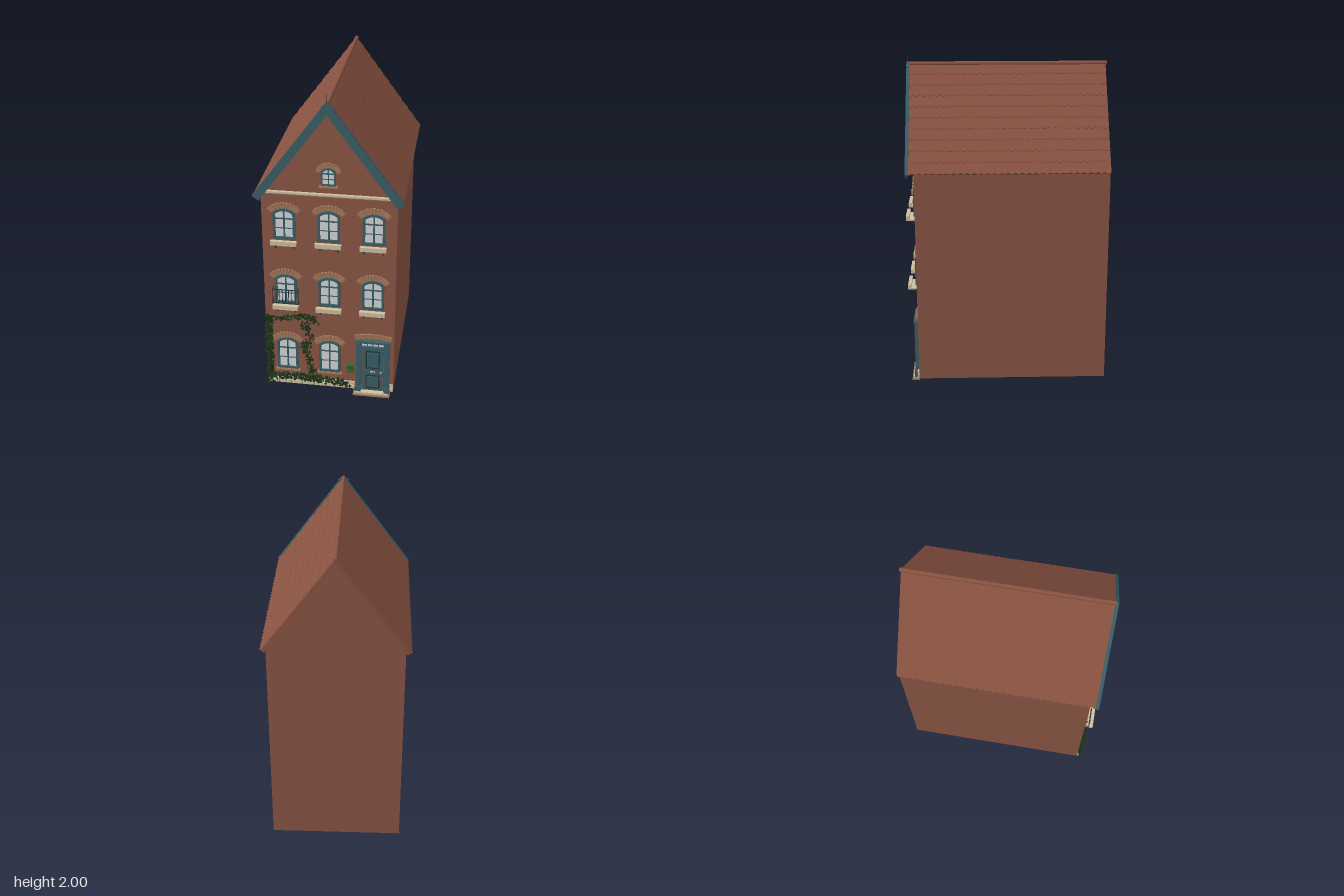
import * as THREE from 'three';
import { mergeGeometries } from 'three/addons/utils/BufferGeometryUtils.js';

const material = (name, color, side = THREE.FrontSide) => {
  const m = new THREE.MeshStandardMaterial({ color, side });
  m.name = name;
  return m;
};
const MAT = {
  brick: material('red brick', 0x8b5645),
  roof: material('roof tile', 0x895341),
  teal: material('teal paint', 0x3b5f67),
  glass: material('pale glass', 0xd6d8da),
  stone: material('cream stone', 0xcfc0a2),
  arch: material('tan brick', 0xa5795a),
  iron: material('dark iron', 0x26343a),
  ivy: material('ivy green', 0x1f361b, THREE.DoubleSide),
  post: material('mailbox green', 0x2f6b2c),
  plaster: material('plaster', 0xa5866b),
};
const FRONT = 0.56, BACK = -0.605;

function add(parent, name, geo, mat, x = 0, y = 0, z = 0) {
  const m = new THREE.Mesh(geo, mat);
  m.name = name;
  m.position.set(x, y, z);
  parent.add(m);
  return m;
}
const box = (parent, name, mat, [w, h, d], [x, y, z]) =>
  add(parent, name, new THREE.BoxGeometry(w, h, d), mat, x, y, z);
const extrude = (shape, depth) =>
  new THREE.ExtrudeGeometry(shape, { depth, bevelEnabled: false, curveSegments: 10 });
function group(parent, name, x = 0, y = 0, z = 0) {
  const g = new THREE.Group();
  g.name = name;
  g.position.set(x, y, z);
  parent.add(g);
  return g;
}
function rect(x0, y0, x1, y1) {
  return new THREE.Shape([[x0, y0], [x1, y0], [x1, y1], [x0, y1]].map(p => new THREE.Vector2(...p)));
}

// Upright opening with a segmental arch on top
const arcRadius = (hw, rise) => (hw * hw + rise * rise) / (2 * rise);
function archShape(hw, y0, y1, rise) {
  const R = arcRadius(hw, rise), a = Math.PI / 2 - Math.asin(Math.min(1, hw / R));
  const s = new THREE.Shape();
  s.moveTo(-hw, y0);
  s.lineTo(hw, y0);
  s.lineTo(hw, y1 - rise);
  s.absarc(0, y1 - R, R, a, Math.PI - a, false);
  s.closePath();
  return s;
}

// Fan of bricks over an opening
function brickArch(parent, hw, top, rise, count, height) {
  const R = arcRadius(hw, rise), half = Math.asin(Math.min(1, hw / R));
  const g = group(parent, 'brickArch');
  for (let i = 0; i < count; i++) {
    const a = half * (2 * (i + 0.5) / count - 1);
    const w = 2 * half * (R + height / 2) / count * 0.86;
    const r = R + height / 2;
    const b = box(g, 'archBrick', MAT.arch, [w, height * (i % 2 ? 1 : 0.88), 0.014],
      [r * Math.sin(a), top - R + r * Math.cos(a), FRONT + 0.005]);
    b.rotation.z = -a;
  }
}

function makeWindow(parent, x, y0, y1, hw, rise, sill) {
  const g = group(parent, 'window', x), t = hw * 0.22, h = y1 - y0;
  const frame = archShape(hw, y0, y1, rise);
  frame.holes.push(archShape(hw - t, y0 + t, y1 - t, rise * 0.7));
  add(g, 'windowFrame', extrude(frame, 0.012), MAT.teal, 0, 0, FRONT);
  add(g, 'windowGlass', extrude(archShape(hw - t / 2, y0 + t / 2, y1 - t / 2, rise), 0.003), MAT.glass, 0, 0, FRONT);
  box(g, 'mullion', MAT.teal, [hw * 0.15, h - t, 0.009], [0, (y0 + y1) / 2, FRONT + 0.0045]);
  for (const f of [0.36, 0.67])
    box(g, 'glazingBar', MAT.teal, [2 * hw - t, f > 0.5 ? 0.008 : 0.004, 0.008], [0, y0 + h * f, FRONT + 0.004]);
  brickArch(g, hw + 0.008, y1 + 0.004, rise + 0.004, 11, hw > 0.05 ? 0.036 : 0.028);
  if (sill === 'deep') {
    box(g, 'sillShelf', MAT.stone, [0.15, 0.009, 0.045], [0, y0 - 0.019, FRONT + 0.0225]);
    box(g, 'sillLip', MAT.stone, [0.155, 0.028, 0.02], [0, y0 - 0.008, FRONT + 0.047]);
    for (const s of [-1, 1]) {
      box(g, 'bracketLeg', MAT.iron, [0.006, 0.045, 0.006], [s * 0.055, y0 - 0.045, FRONT + 0.003]);
      const b = box(g, 'bracketBrace', MAT.iron, [0.005, 0.06, 0.005], [s * 0.055, y0 - 0.04, FRONT + 0.02]);
      b.rotation.x = 0.85;
    }
  } else {
    box(g, 'thinSill', MAT.arch, [2 * hw + 0.022, 0.012, 0.02], [0, y0 - 0.006, FRONT + 0.01]);
  }
}

function makeRoof(parent) {
  const roof = group(parent, 'roof'), ridgeY = 1.942;
  const len = 0.72, angle = Math.atan2(0.585, 0.43), rows = 10, step = len / rows, tiles = 30, depth = 1.21;
  // One scalloped course of tiles
  const pts = [new THREE.Vector2(0, depth / 2), new THREE.Vector2(0, -depth / 2)];
  for (let i = 0; i < tiles; i++)
    for (let k = 0; k < 5; k++)
      pts.push(new THREE.Vector2(step - 0.004 + 0.011 * Math.sin(Math.PI * k / 5), depth * ((i + k / 5) / tiles - 0.5)));
  pts.push(new THREE.Vector2(step - 0.004, depth / 2));
  const course = extrude(new THREE.Shape(pts), 0.004).rotateX(-Math.PI / 2);
  for (const s of [1, -1]) {
    const side = group(roof, 'roofSide', 0, ridgeY, 0);
    side.rotation.y = s > 0 ? 0 : Math.PI;
    const slope = group(side, 'roofSlope');
    slope.rotation.z = -angle;
    box(slope, 'roofSlab', MAT.roof, [len - 0.005, 0.02, depth], [len / 2, -0.01, 0]);
    for (let i = 0; i < rows; i++)
      add(slope, 'tileCourse', course, MAT.roof, i * step, -0.001, 0).rotation.z = 0.08;
    box(slope, 'bargeboard', MAT.teal, [len + 0.018, 0.046, 0.014], [len / 2 + 0.001, -0.014, s * 0.602]);
    box(slope, 'bargeboardTrim', MAT.teal, [len + 0.016, 0.012, 0.02], [len / 2 + 0.001, 0.005, s * 0.599]);
  }
  const ridge = new THREE.CylinderGeometry(0.013, 0.013, 1.215, 12).rotateX(Math.PI / 2);
  add(roof, 'ridgeTiles', ridge, MAT.roof, 0, ridgeY, -0.007);
  add(roof, 'finial', new THREE.CylinderGeometry(0.001, 0.003, 0.06, 8), MAT.iron, 0, 1.97, 0.602);
}

function makeDoor(parent) {
  const g = group(parent, 'door', 0.27, 0, FRONT);
  const frame = rect(-0.105, 0.02, 0.105, 0.4);
  frame.holes.push(rect(-0.068, 0.02, 0.068, 0.345), rect(-0.068, 0.356, 0.068, 0.386));
  add(g, 'doorFrame', extrude(frame, 0.014), MAT.teal);
  for (const s of [-1, 1]) {
    box(g, 'doorPilaster', MAT.teal, [0.024, 0.36, 0.024], [s * 0.09, 0.2, 0.012]);
    box(g, 'pilasterBase', MAT.teal, [0.034, 0.04, 0.03], [s * 0.09, 0.04, 0.015]);
  }
  box(g, 'doorCornice', MAT.teal, [0.214, 0.014, 0.028], [0, 0.393, 0.014]);
  box(g, 'doorTransom', MAT.teal, [0.15, 0.012, 0.02], [0, 0.35, 0.01]);
  box(g, 'transomGlass', MAT.glass, [0.136, 0.03, 0.004], [0, 0.371, 0.002]);
  for (const x of [-0.034, 0, 0.034]) box(g, 'transomBar', MAT.teal, [0.005, 0.03, 0.008], [x, 0.371, 0.004]);
  box(g, 'doorLeaf', MAT.teal, [0.128, 0.325, 0.006], [0, 0.1825, 0.003]);
  for (const [y, h] of [[0.255, 0.13], [0.09, 0.1]]) {
    const edge = rect(-0.044, -h / 2, 0.044, h / 2);
    edge.holes.push(rect(-0.037, -h / 2 + 0.007, 0.037, h / 2 - 0.007));
    add(g, 'panelMoulding', extrude(edge, 0.006), MAT.iron, 0, y, 0.004);
    box(g, 'doorPanel', MAT.teal, [0.058, h - 0.03, 0.006], [0, y, 0.008]);
  }
  box(g, 'letterSlot', MAT.stone, [0.03, 0.008, 0.004], [0, 0.165, 0.008]);
  add(g, 'doorKnob', new THREE.SphereGeometry(0.006, 10, 8), MAT.stone, 0.053, 0.165, 0.012);
  const lintel = group(parent, 'doorLintel', 0.272);
  brickArch(lintel, 0.108, 0.412, 0.014, 15, 0.033);
  box(parent, 'doorstep', MAT.arch, [0.23, 0.01, 0.045], [0.266, 0.005, FRONT + 0.0225]);
  box(parent, 'doorstepTop', MAT.stone, [0.21, 0.012, 0.036], [0.266, 0.016, FRONT + 0.018]);
}

function makeIvy(parent) {
  let seed = 7;
  const rnd = () => (seed = (seed * 16807) % 2147483647) / 2147483647;
  // Each strand: leaf count, half width, path points
  const strands = [
    [420, 0.022, [[-0.38, 0.04], [-0.376, 0.2], [-0.38, 0.36], [-0.375, 0.52]]],
    [260, 0.024, [[-0.39, 0.075], [-0.2, 0.085], [0, 0.075], [0.07, 0.07], [0.125, 0.05]]],
    [90, 0.018, [[-0.39, 0.51], [-0.3, 0.515], [-0.22, 0.53], [-0.13, 0.54], [-0.07, 0.5]]],
    [150, 0.026, [[-0.1, 0.06], [-0.12, 0.16], [-0.14, 0.28], [-0.125, 0.4], [-0.15, 0.46], [-0.12, 0.55]]],
    [30, 0.012, [[-0.15, 0.27], [-0.17, 0.32], [-0.15, 0.35]]],
  ];
  const leaf = new THREE.CircleGeometry(0.0095, 5), leaves = [], stems = [];
  const m = new THREE.Matrix4(), q = new THREE.Quaternion(), e = new THREE.Euler();
  for (const [count, spread, path] of strands) {
    const curve = new THREE.CatmullRomCurve3(path.map(p => new THREE.Vector3(p[0], p[1], FRONT + 0.005)));
    stems.push(new THREE.TubeGeometry(curve, 24, 0.003, 5));
    for (let i = 0; i < count; i++) {
      const p = curve.getPointAt(rnd());
      p.x = Math.max(-0.398, p.x + (rnd() * 2 - 1) * spread);
      p.y = Math.max(0.025, p.y + (rnd() * 2 - 1) * spread);
      p.z += 0.003 + rnd() * 0.016;
      q.setFromEuler(e.set((rnd() - 0.5) * 1.6, (rnd() - 0.5) * 1.6, rnd() * 6));
      const s = 0.7 + rnd() * 0.5;
      leaves.push(leaf.clone().applyMatrix4(m.compose(p, q, new THREE.Vector3(s, s, s))));
    }
  }
  add(parent, 'ivyLeaves', mergeGeometries(leaves), MAT.ivy);
  add(parent, 'ivyStems', mergeGeometries(stems), MAT.ivy);
}

export function createModel() {
  const house = new THREE.Group();
  house.name = 'townHouse';

  // Hollow walls, open underneath, with a solid gable prism on top
  const plan = rect(-0.4, -FRONT, 0.4, -BACK);
  plan.holes.push(rect(-0.36, -FRONT + 0.04, 0.36, -BACK - 0.04));
  add(house, 'walls', extrude(plan, 1.35).rotateX(-Math.PI / 2), MAT.brick, 0, 0.02, 0);
  const gable = new THREE.Shape([[-0.4, 1.37], [0.4, 1.37], [0, 1.913]].map(p => new THREE.Vector2(...p)));
  add(house, 'gables', extrude(gable, FRONT - BACK), MAT.brick, 0, 0, BACK);
  box(house, 'frontRoom', MAT.plaster, [0.74, 1.33, 0.315], [0, 0.683, 0.398]);
  box(house, 'cornice', MAT.stone, [0.8, 0.012, 0.02], [0, 1.377, FRONT + 0.008]);
  box(house, 'corniceLip', MAT.arch, [0.79, 0.008, 0.012], [0, 1.367, FRONT + 0.004]);
  makeRoof(house);

  // Windows
  for (const x of [-0.265, 0, 0.265]) {
    makeWindow(house, x, 1.07, 1.27, 0.066, 0.03, 'deep');
    makeWindow(house, x, 0.625, 0.825, 0.066, 0.03, 'deep');
    if (x < 0.2) makeWindow(house, x, 0.14, 0.37, 0.066, 0.03, 'thin');
  }
  makeWindow(house, 0, 1.435, 1.545, 0.043, 0.032, 'thin');

  // Balcony railing
  const rail = group(house, 'balconyRailing', -0.265, 0, FRONT);
  for (const y of [0.635, 0.73]) {
    box(rail, 'rail', MAT.iron, [0.16, 0.005, 0.004], [0, y, 0.03]);
    for (const s of [-1, 1]) box(rail, 'sideRail', MAT.iron, [0.004, 0.005, 0.03], [s * 0.078, y, 0.015]);
  }
  for (let i = 0; i < 9; i++) box(rail, 'baluster', MAT.iron, [0.004, 0.1, 0.004], [(i - 4) * 0.0195, 0.682, 0.03]);

  makeDoor(house);

  // Stone plinth in two staggered courses
  for (let row = 0; row < 2; row++)
    for (let i = 0; i < 8; i++) {
      const x0 = Math.max(-0.4, -0.4 + (i - row * 0.5) * 0.075), x1 = Math.min(0.16, -0.4 + (i + 1 - row * 0.5) * 0.075);
      box(house, 'plinthStone', MAT.stone, [x1 - x0 - 0.005, 0.023, 0.012], [(x0 + x1) / 2, 0.037 + row * 0.028, FRONT + 0.004]);
    }
  for (const y of [0.037, 0.065]) box(house, 'plinthStone', MAT.stone, [0.02, 0.023, 0.012], [0.389, y, FRONT + 0.004]);

  // Mailbox
  const mail = group(house, 'mailbox', 0.13, 0.18, FRONT);
  box(mail, 'mailboxBody', MAT.post, [0.042, 0.05, 0.018], [0, -0.003, 0.009]);
  box(mail, 'mailboxLid', MAT.post, [0.048, 0.01, 0.024], [0, 0.025, 0.012]);
  box(mail, 'mailboxSlot', MAT.iron, [0.03, 0.005, 0.003], [0, 0.008, 0.018]);

  makeIvy(house);
  return house;
}
